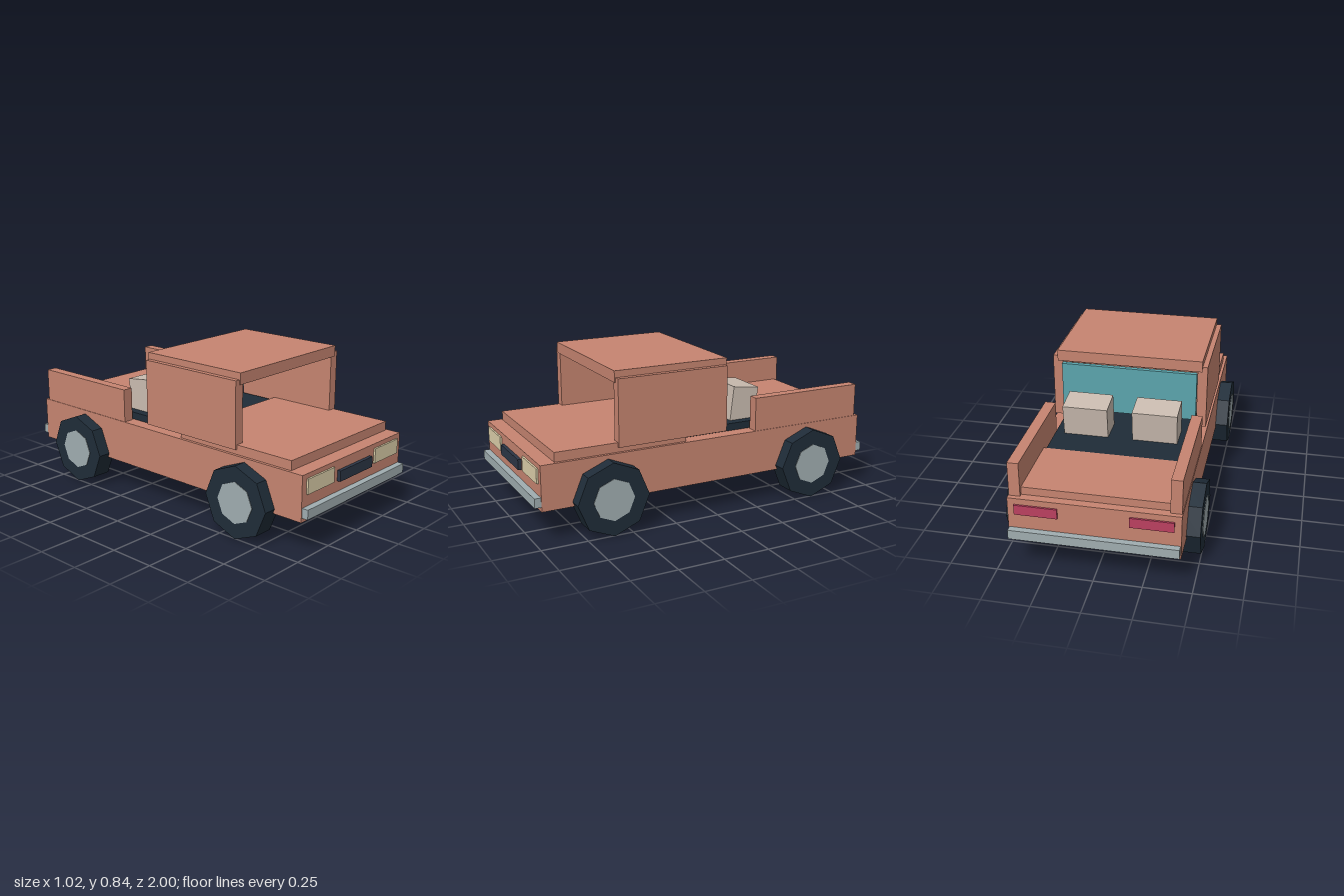
import * as THREE from 'three';

const mat = (color) => new THREE.MeshStandardMaterial({ color, flatShading: true });

export function createModel() {
  const truck = new THREE.Group();
  truck.name = 'pickupTruck';
  const paint = mat(0xc68470), dark = mat(0x1f2c38), glass = mat(0x5ba5ad);
  const metal = mat(0xa0adb0), lamp = mat(0xdccfaa), red = mat(0xbc4060);
  const cloth = mat(0xcabcb0), grilleMat = mat(0x2c3646);

  // Box given by its min and max on each axis
  function box(name, material, [x0, x1], [y0, y1], [z0, z1]) {
    const mesh = new THREE.Mesh(new THREE.BoxGeometry(x1 - x0, y1 - y0, z1 - z0), material);
    mesh.position.set((x0 + x1) / 2, (y0 + y1) / 2, (z0 + z1) / 2);
    mesh.name = name;
    truck.add(mesh);
    return mesh;
  }

  // Body, hood, cabin floor and cargo deck
  box('body', paint, [-0.435, 0.435], [0.172, 0.415], [-0.965, 0.965]);
  box('hood', paint, [-0.418, 0.418], [0.41, 0.466], [0.15, 0.885]);
  box('cabinFloor', dark, [-0.36, 0.36], [0.41, 0.455], [-0.52, 0.15]);
  box('cargoDeck', paint, [-0.38, 0.38], [0.41, 0.457], [-0.92, -0.52]);

  // Roof, header strip and rear window
  box('roof', paint, [-0.402, 0.402], [0.775, 0.836], [-0.1, 0.548]);
  box('roofHeader', paint, [-0.375, 0.375], [0.764, 0.78], [-0.085, -0.06]);
  box('cabWindow', glass, [-0.375, 0.375], [0.49, 0.764], [-0.112, -0.087]);

  // Grille and bumpers
  box('grille', grilleMat, [-0.144, 0.144], [0.304, 0.361], [0.95, 0.984]);
  box('frontBumper', metal, [-0.431, 0.431], [0.196, 0.247], [0.955, 1]);
  box('rearBumper', metal, [-0.431, 0.431], [0.196, 0.247], [-1, -0.955]);

  // Octagonal wheels lie along x, with a corner pointing straight up
  const tyreGeo = new THREE.CylinderGeometry(0.197, 0.197, 0.108, 8).rotateZ(Math.PI / 2);
  const hubGeo = new THREE.CylinderGeometry(0.113, 0.113, 0.11, 8).rotateZ(Math.PI / 2);

  for (const s of [-1, 1]) {
    const side = s > 0 ? 'left' : 'right';
    const span = (a, b) => (s > 0 ? [a, b] : [-b, -a]);

    // Cab side panel and cargo rail
    box(side + 'CabPanel', paint, span(0.376, 0.43), [0.441, 0.8], [-0.09, 0.541]);
    box(side + 'CargoRail', paint, span(0.374, 0.432), [0.41, 0.6], [-0.94, -0.27]);

    // Lights
    box(side + 'Headlight', lamp, span(0.183, 0.4), [0.31, 0.39], [0.95, 0.975]);
    box(side + 'Taillight', red, span(0.18, 0.4), [0.328, 0.382], [-0.975, -0.95]);

    // Seat leaning backward
    const seat = box(side + 'Seat', cloth, span(0.067, 0.31), [0.416, 0.636], [-0.347, -0.191]);
    seat.rotation.x = -0.12;

    // Front and rear wheels
    for (const z of [0.605, -0.605]) {
      const wheel = new THREE.Group();
      wheel.name = side + (z > 0 ? 'FrontWheel' : 'RearWheel');
      const tyre = new THREE.Mesh(tyreGeo, dark);
      tyre.name = 'tyre';
      const hub = new THREE.Mesh(hubGeo, metal);
      hub.name = 'hub';
      hub.position.x = s * 0.002;
      wheel.add(tyre, hub);
      wheel.position.set(s * 0.452, 0.197, z);
      truck.add(wheel);
    }
  }
  return truck;
}
